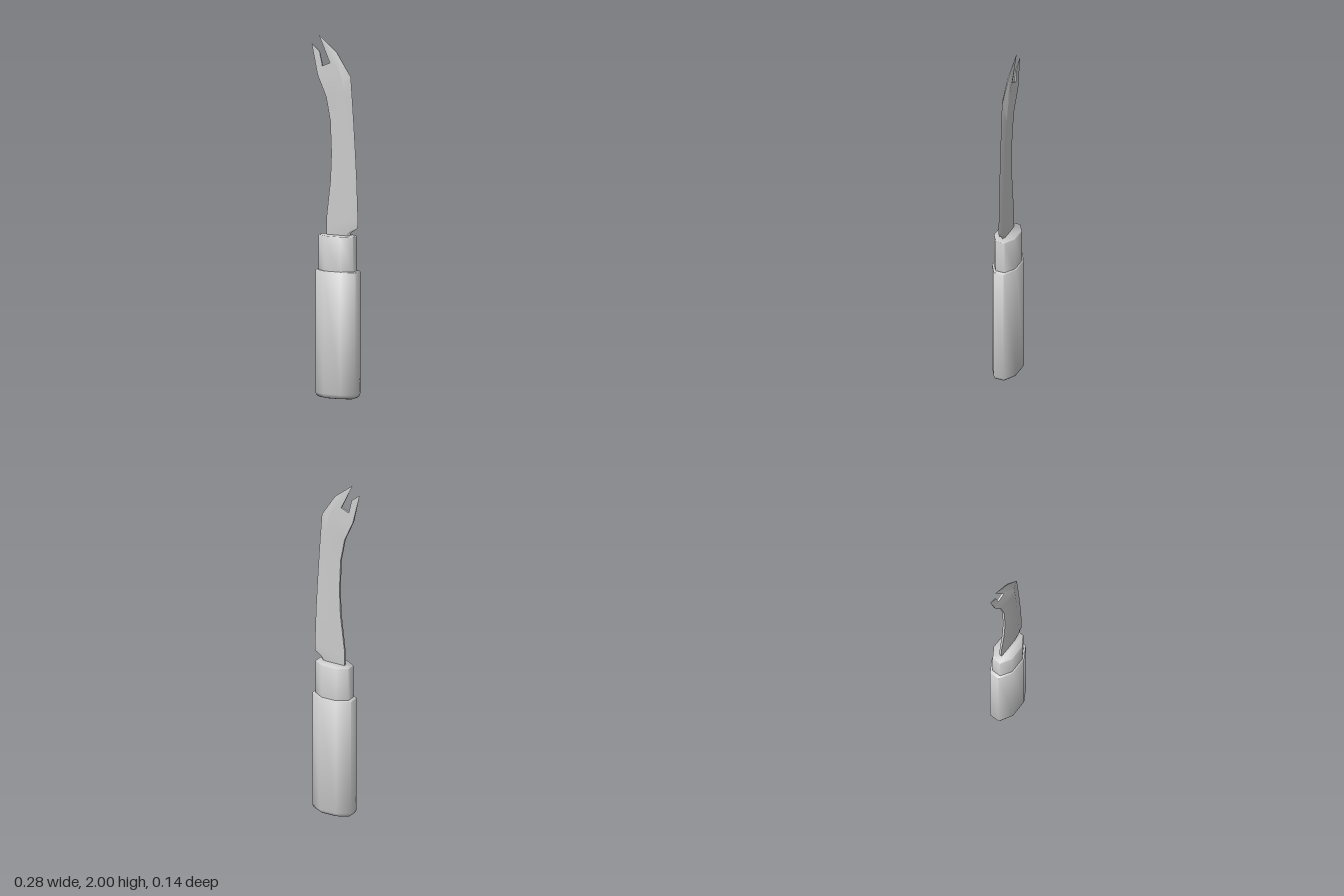
import * as THREE from 'three';
import { toCreasedNormals } from 'three/addons/utils/BufferGeometryUtils.js';

const material = new THREE.MeshStandardMaterial({ color: 0xcccccc });

function makeMesh(name, triangles, crease) {
  const geometry = new THREE.BufferGeometry();
  geometry.setAttribute('position', new THREE.Float32BufferAttribute(triangles.flat(2), 3));
  const mesh = new THREE.Mesh(toCreasedNormals(geometry, crease), material);
  mesh.name = name;
  return mesh;
}

// Octagonal column lofted through rows of [height, inset], capped at both ends
function octagonColumn(name, hx, hz, fx, fz, rows) {
  const rings = rows.map(([y, inset]) => {
    const X = hx - inset, Z = hz - inset, x = fx - inset * 0.4, z = fz - inset * 0.4;
    return [[X, z], [x, Z], [-x, Z], [-X, z], [-X, -z], [-x, -Z], [x, -Z], [X, -z]]
      .map(([px, pz]) => [px + 0.0155, y, pz]);
  });
  const triangles = [];
  for (let r = 0; r < rings.length - 1; r++) {
    for (let j = 0; j < 8; j++) {
      const k = (j + 1) % 8, a = rings[r], b = rings[r + 1];
      triangles.push([a[j], b[j], b[k]], [a[j], b[k], a[k]]);
    }
  }
  const bottom = rings[0], top = rings[rings.length - 1];
  for (let j = 1; j < 7; j++) {
    triangles.push([bottom[0], bottom[j], bottom[j + 1]], [top[0], top[j + 1], top[j]]);
  }
  return makeMesh(name, triangles, 1.1);
}

// Mirrored front and back faces from counter-clockwise panels of [x, y, half thickness],
// with a wall along every edge that no other panel shares
function plate(name, panels) {
  const triangles = [], edges = new Set();
  const front = ([x, y, t]) => [x, y, t], back = ([x, y, t]) => [x, y, -t];
  const key = (a, b) => a.join() + '|' + b.join();
  const eachEdge = (visit) => panels.forEach((p) => p.forEach((a, i) => visit(a, p[(i + 1) % p.length])));
  for (const panel of panels) {
    const outline = panel.map(([x, y]) => new THREE.Vector2(x, y));
    for (const [a, b, c] of THREE.ShapeUtils.triangulateShape(outline, [])) {
      const [p, q, r] = [panel[a], panel[b], panel[c]];
      triangles.push([p, q, r].map(front), [p, r, q].map(back));
    }
  }
  eachEdge((a, b) => edges.add(key(a, b)));
  eachEdge((a, b) => {
    if (edges.has(key(b, a))) return;
    if (a[2] > 0) triangles.push([front(a), back(a), back(b)]);
    if (b[2] > 0) triangles.push([front(a), back(b), front(b)]);
  });
  return makeMesh(name, triangles, 0.4);
}

function bladePanels() {
  // Rows: height, spine x, ridge x, cutting edge x, spine and ridge half thickness
  const rows = [
    [0.89, -0.05, 0.06, 0.082, 0.006, 0.006],
    [0.92, -0.051, 0.085, 0.1, 0.006, 0.008],
    [0.945, -0.052, 0.105, 0.137, 0.006, 0.009],
    [0.99, -0.051, 0.104, 0.139, 0.006, 0.01],
    [1.2, -0.026, 0.093, 0.132, 0.007, 0.011],
    [1.35, -0.02, 0.084, 0.124, 0.007, 0.011],
    [1.53, -0.027, 0.073, 0.113, 0.007, 0.012],
    [1.66, -0.052, 0.062, 0.104, 0.007, 0.014],
    [1.78, -0.105, 0.047, 0.095, 0.007, 0.018],
  ].map(([y, s, r, e, ts, tr]) => [[s, y, ts], [r, y, tr], [e, y, 0]]);
  const panels = [];
  for (let i = 0; i < rows.length - 1; i++) {
    for (let j = 0; j < 2; j++) {
      panels.push([rows[i][j], rows[i][j + 1], rows[i + 1][j + 1], rows[i + 1][j]]);
    }
  }
  // Forked head
  const [spine, ridge, edge] = rows[rows.length - 1];
  const shoulder = [0.01, 1.91, 0.003];
  const notchRight = [-0.03, 1.85, 0.006], notchLeft = [-0.077, 1.83, 0.005];
  panels.push([ridge, edge, shoulder]);
  panels.push([spine, ridge, notchRight, notchLeft]);
  panels.push([ridge, shoulder, [-0.1, 2, 0], notchRight]);
  panels.push([spine, notchLeft, [-0.095, 1.91, 0.003], [-0.144, 1.95, 0]]);
  return panels;
}

export function createModel() {
  const group = new THREE.Group();
  group.name = 'forkedCheeseKnife';
  group.add(
    octagonColumn('handle', 0.1225, 0.072, 0.051, 0.03,
      [[0, 0.027], [0.004, 0.014], [0.012, 0.005], [0.027, 0], [0.703, 0], [0.706, 0.003]]),
    octagonColumn('collar', 0.105, 0.063, 0.046, 0.026,
      [[0.69, 0], [0.896, 0], [0.9, 0.003]]),
    plate('blade', bladePanels()),
  );
  return group;
}
